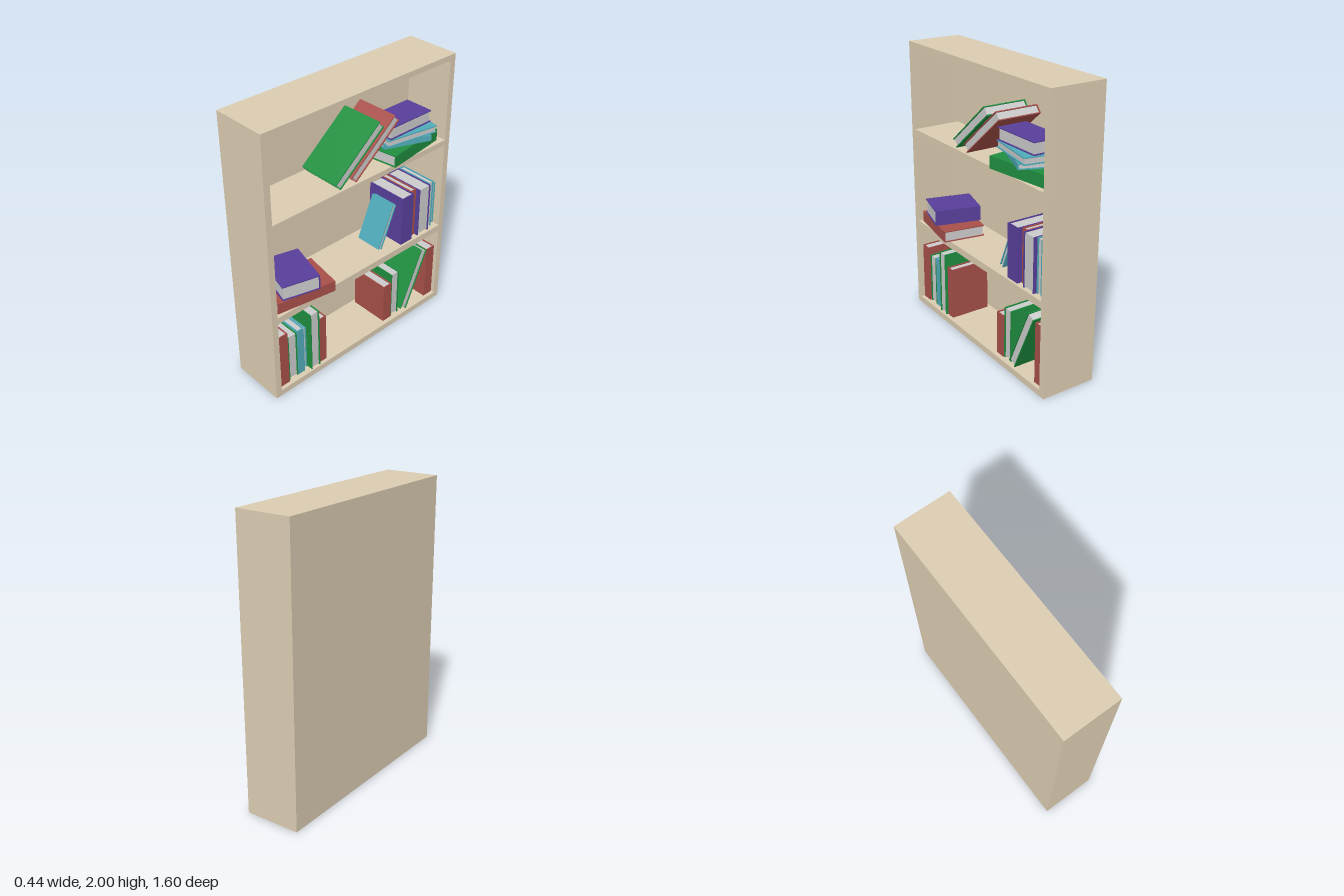
import * as THREE from 'three';

const mat = (color) => new THREE.MeshStandardMaterial({ color, flatShading: true });
const WOOD = mat(0xdccdb2), PAGES = mat(0xcccccc);
const RED = mat(0xa8504a), GREEN = mat(0x1f8f40), TEAL = mat(0x50abb9), PURPLE = mat(0x593f9b);

function box(name, material, sx, sy, sz, x = 0, y = 0, z = 0) {
  const m = new THREE.Mesh(new THREE.BoxGeometry(sx, sy, sz), material);
  m.name = name;
  m.position.set(x, y, z);
  return m;
}

function rect(target, z0, y0, z1, y1) {
  return target.moveTo(z0, y0).lineTo(z1, y0).lineTo(z1, y1).lineTo(z0, y1).closePath();
}

// Centred book: spine faces +x, height along y, thickness along z
function makeBook(color, thick, height, depth) {
  const g = new THREE.Group();
  g.name = 'book';
  const c = 0.007, r = 0.008, h = depth / 2, t = thick / 2;
  // U-shaped cover wrapping the page block
  const u = new THREE.Shape();
  u.moveTo(-h, -t).lineTo(h, -t).lineTo(h, t).lineTo(-h, t);
  u.lineTo(-h, t - c).lineTo(h - c, t - c).lineTo(h - c, -t + c).lineTo(-h, -t + c).closePath();
  const geo = new THREE.ExtrudeGeometry(u, { depth: height, bevelEnabled: false });
  geo.translate(0, 0, -height / 2).rotateX(-Math.PI / 2);
  const cover = new THREE.Mesh(geo, color);
  cover.name = 'bookCover';
  g.add(cover, box('bookPages', PAGES, depth - c - r, height - 2 * r, thick - 2 * c, (r - c) / 2));
  return g;
}

// Standing or leaning book; lean tips the top towards -z
function standing(color, thick, height, depth, x, y, z, spineOut, lean = 0) {
  const b = makeBook(color, thick, height, depth);
  b.position.set(x, y, z);
  b.rotation.set(-THREE.MathUtils.degToRad(lean), spineOut ? 0 : Math.PI, 0);
  return b;
}

// Book lying flat, turned about the vertical
function lying(color, y0, y1, height, depth, x, z, turn) {
  const b = makeBook(color, y1 - y0, height, depth);
  b.position.set(x, (y0 + y1) / 2, z);
  b.rotation.set(-Math.PI / 2, THREE.MathUtils.degToRad(turn), 0, 'YXZ');
  return b;
}

export function createModel() {
  const model = new THREE.Group();
  model.name = 'bookcase';

  // Frame with three open bays, facing +x
  const outline = rect(new THREE.Shape(), -0.8, 0, 0.8, 2);
  for (const [y0, y1] of [[0.045, 0.625], [0.675, 1.34], [1.38, 1.96]])
    outline.holes.push(rect(new THREE.Path(), -0.755, y0, 0.755, y1));
  const frameGeo = new THREE.ExtrudeGeometry(outline, { depth: 0.355, bevelEnabled: false });
  frameGeo.rotateY(Math.PI / 2).translate(-0.18, 0, 0);
  const frame = new THREE.Mesh(frameGeo, WOOD);
  frame.name = 'frameAndShelves';
  model.add(frame, box('backPanel', WOOD, 0.042, 2, 1.6, -0.201, 1, 0));

  // Upright rows: colour, z range, base, top, front x, depth, spine outwards
  const rows = [
    [RED, 0.665, 0.745, 0.047, 0.48, 0.15, 0.3, true],
    [GREEN, 0.58, 0.657, 0.047, 0.425, 0.14, 0.28, false],
    [TEAL, 0.52, 0.575, 0.047, 0.432, 0.14, 0.28, true],
    [TEAL, 0.483, 0.516, 0.047, 0.4, 0.12, 0.25, false],
    [GREEN, 0.402, 0.479, 0.047, 0.527, 0.165, 0.31, false],
    [RED, 0.33, 0.393, 0.047, 0.432, 0.15, 0.3, true],
    [RED, -0.31, -0.233, 0.047, 0.36, 0.145, 0.3, true],
    [GREEN, -0.39, -0.314, 0.047, 0.425, 0.14, 0.3, false],
    [RED, -0.75, -0.668, 0.047, 0.48, 0.15, 0.3, true],
    [PURPLE, -0.485, -0.375, 0.677, 1.057, 0.16, 0.315, true],
    [RED, -0.54, -0.491, 0.677, 1.057, 0.13, 0.29, true],
    [PURPLE, -0.655, -0.544, 0.677, 1.057, 0.16, 0.315, false],
    [TEAL, -0.707, -0.66, 0.677, 1.057, 0.14, 0.29, false],
    [TEAL, -0.752, -0.711, 0.677, 1.015, 0.12, 0.26, false],
  ];
  for (const [color, z0, z1, y0, y1, front, depth, out] of rows)
    model.add(standing(color, z1 - z0, y1 - y0, depth, front - depth / 2, (y0 + y1) / 2, (z0 + z1) / 2, out));

  // Leaning books
  model.add(
    standing(GREEN, 0.065, 0.48, 0.315, 0.013, 1.567, 0.043, false, 50.5),
    standing(RED, 0.063, 0.48, 0.315, 0.015, 1.567, -0.09, false, 50.5),
    standing(TEAL, 0.036, 0.34, 0.2, 0.003, 0.838, -0.29, false, 23),
    standing(GREEN, 0.067, 0.485, 0.31, 0.005, 0.284, -0.53, false, 24.2),
  );

  // Flat stacks
  model.add(
    lying(GREEN, 1.382, 1.466, 0.475, 0.3, 0.0235, -0.454, 8),
    lying(TEAL, 1.467, 1.507, 0.34, 0.307, 0.014, -0.46, -22),
    lying(TEAL, 1.508, 1.557, 0.39, 0.29, 0.038, -0.448, 170),
    lying(PURPLE, 1.558, 1.643, 0.375, 0.215, 0.0425, -0.435, 180),
    lying(RED, 0.677, 0.757, 0.43, 0.3, 0.0365, 0.492, -9.5),
    lying(PURPLE, 0.758, 0.867, 0.33, 0.265, 0.022, 0.515, 75),
  );
  return model;
}
